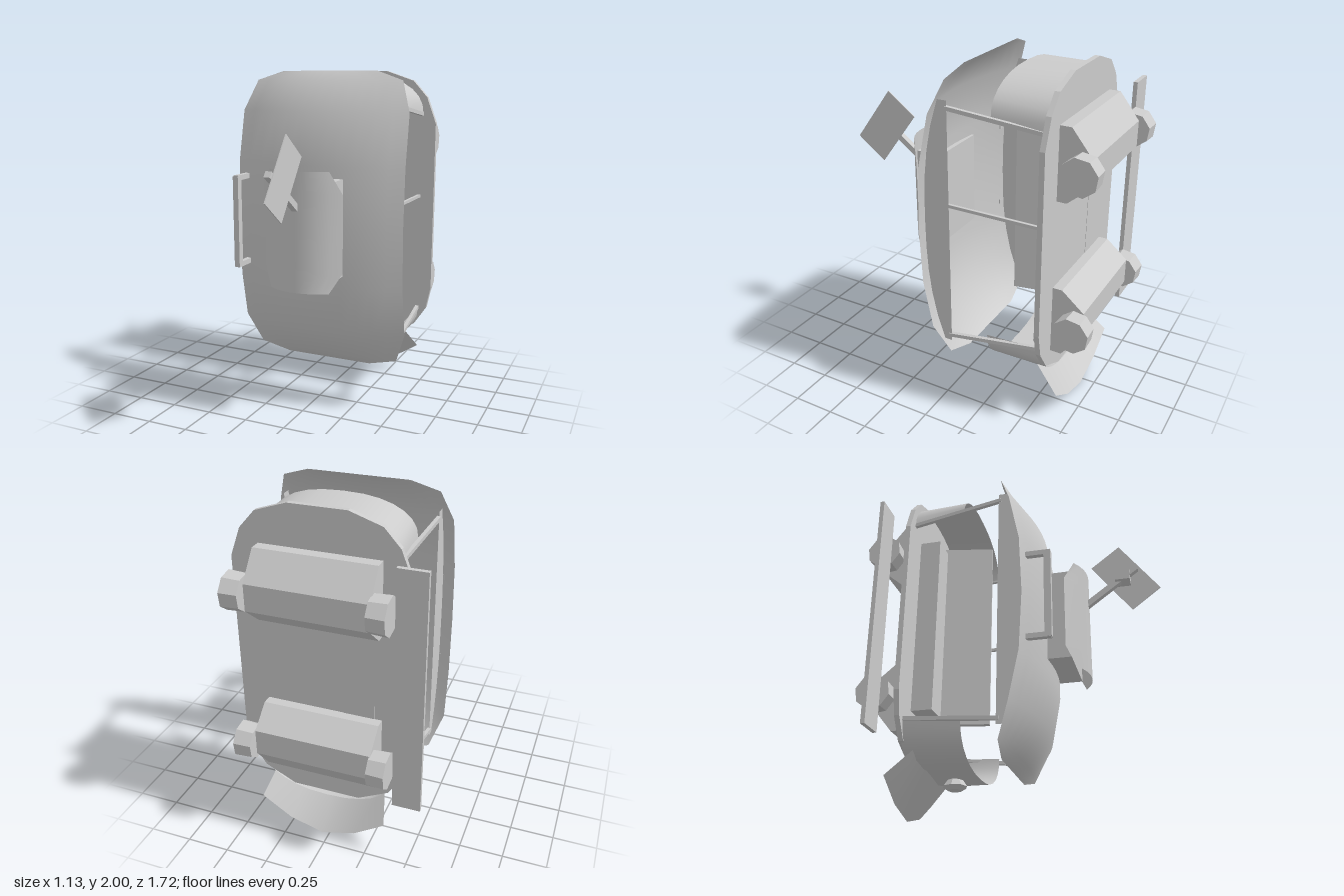
import * as THREE from 'three';

const CX = 0.04; // centre line of the body
const CY = 1.125; // middle of its length
const mat = new THREE.MeshStandardMaterial({ color: 0xcccccc, side: THREE.DoubleSide });
const flat = new THREE.MeshStandardMaterial({ color: 0xcccccc, side: THREE.DoubleSide, flatShading: true });

// depth of the roof's side edge, t = -1..1 along its length
const rimZ = (t) => 0.12 - 0.17 * Math.abs(t) ** 2.6;

export function createModel() {
  const root = new THREE.Group();
  const add = (name, geo, m = mat) => {
    const mesh = new THREE.Mesh(geo, m);
    mesh.name = name;
    root.add(mesh);
    return mesh;
  };
  // box given by its limits
  const box = (name, x0, x1, y0, y1, z0, z1) => {
    const b = add(name, new THREE.BoxGeometry(x1 - x0, y1 - y0, z1 - z0));
    b.position.set((x0 + x1) / 2, (y0 + y1) / 2, (z0 + z1) / 2);
  };
  // square bar between two points
  const bar = (name, a, b, w) => {
    const p = new THREE.Vector3(...a), q = new THREE.Vector3(...b);
    const m = add(name, new THREE.BoxGeometry(w, w, p.distanceTo(q)));
    m.position.copy(p).add(q).multiplyScalar(0.5);
    m.lookAt(q);
  };
  // surface from cross-sections: rows of points f(row, u), u in 0..1
  const sheet = (name, rows, cols, f) => {
    const pos = [], idx = [];
    for (let j = 0; j < rows; j++) for (let i = 0; i <= cols; i++) pos.push(...f(j, i / cols));
    for (let j = 0; j < rows - 1; j++) for (let i = 0; i < cols; i++) {
      const a = j * (cols + 1) + i, c = a + cols + 1;
      idx.push(a, a + 1, c + 1, a, c + 1, c);
    }
    const g = new THREE.BufferGeometry();
    g.setAttribute('position', new THREE.Float32BufferAttribute(pos, 3));
    g.setIndex(idx);
    g.computeVertexNormals();
    add(name, g);
  };

  // crowned roof shell with rounded corners
  const roof = [[-1, 0.27], [-0.94, 0.45], [-0.72, 0.522], [-0.4, 0.522], [0, 0.522],
    [0.4, 0.522], [0.74, 0.518], [0.94, 0.455], [1, 0.295]];
  sheet('roof', roof.length, 12, (j, u) => {
    const [t, w] = roof[j], s = u * 2 - 1;
    const crown = 0.21 - 0.26 * Math.abs(t) ** 5;
    return [CX + s * w, CY + t * 0.875, crown - (crown - rimZ(t)) * s * s];
  });
  // side rails following the underside of the roof
  for (const s of [-1, 1]) {
    sheet('roofSideRail', 2, 10, (j, u) => {
      const y = 0.385 + 1.455 * u;
      return [CX + s * 0.455, y, j ? rimZ((y - CY) / 0.875) : -0.035];
    });
  }

  // raised unit on the roof with a curved, corner-cut cover
  box('roofUnit', -0.15, 0.23, 0.85, 1.41, 0.18, 0.335);
  const cover = [[0.79, 0.18], [0.9, 0.24], [1.34, 0.24], [1.47, 0.18]];
  sheet('roofUnitCover', cover.length, 8, (j, u) => {
    const [y, w] = cover[j], x = (u * 2 - 1) * w;
    return [CX + x, y, 0.42 - 0.11 * (Math.abs(x) / 0.24) ** 2.2];
  });

  // arm, bracket and tilted panel
  bar('panelArm', [CX, 1.26, 0.4], [CX, 1.49, 0.72], 0.036);
  box('panelBracket', -0.005, 0.095, 1.4, 1.47, 0.59, 0.68);
  const panel = add('tiltedPanel', new THREE.BoxGeometry(0.006, 0.4, 0.22));
  panel.position.set(0.092, 1.46, 0.648);
  panel.rotation.x = -0.64;

  // handrail on the right of the roof
  box('roofHandrail', -0.432, -0.398, 0.86, 1.4, 0.235, 0.275);
  for (const y of [0.87, 1.39]) bar('handrailBracket', [-0.415, y, 0.13], [-0.415, y, 0.27], 0.03);

  // floor plate with rounded ends
  const half = [[0.2, 0.27], [0.38, 0.36], [0.46, 0.48], [0.49, 0.62], [0.49, 1.68], [0.43, 1.84], [0.34, 1.94], [0.16, 2.0]];
  const outline = [...half, ...half.slice().reverse().map(([x, y]) => [-x, y])];
  const floorShape = new THREE.Shape(outline.map(([x, y]) => new THREE.Vector2(CX + x, y)));
  const floor = add('floor', new THREE.ExtrudeGeometry(floorShape, { depth: 0.03, bevelEnabled: false }));
  floor.position.z = -0.605;

  // bowed end walls: side height at the open edge and at the floor, height at the middle
  const endWall = (name, sideY, midY, edge) => sheet(name, 2, 14, (j, u) => {
    const c = Math.cos(Math.PI * u);
    const x = CX + 0.41 * Math.sign(c) * Math.abs(c) ** 0.85;
    return [x, sideY[j] + (midY - sideY[j]) * Math.sin(Math.PI * u) ** 0.9, j ? -0.59 : edge];
  });
  endWall('upperEndWall', [1.77, 1.73], 1.975, -0.265);
  endWall('lowerEndWall', [0.465, 0.485], 0.225, -0.245);

  // posts between floor and roof
  for (const s of [-1, 1]) {
    const top = CX + s * 0.45, foot = CX + s * 0.4;
    bar('upperPost', [foot, 1.735, -0.59], [top, 1.8, -0.02], 0.022);
    bar('lowerPost', [foot, 0.48, -0.59], [top, 0.42, -0.02], 0.022);
  }
  bar('middlePost', [0.435, 1.22, -0.59], [0.44, 1.225, 0.05], 0.018);

  // lengthwise bench with leaning back
  box('benchSeat', -0.26, -0.075, 0.56, 1.67, -0.607, -0.45);
  const back = add('benchBack', new THREE.BoxGeometry(0.035, 1.18, 0.41));
  back.position.set(-0.075, 1.11, -0.375);
  back.rotation.y = 0.2;

  // axle housings with wheels
  for (const [y, s] of [[1.56, 1], [0.645, -1]]) {
    // profile: offset along the length, depth below the floor
    const prof = [[0.21, 0.6], [0.21, 0.67], [0.06, 0.79], [-0.09, 0.79], [-0.2, 0.66], [-0.2, 0.6]];
    const shape = new THREE.Shape(prof.map(([v, d]) => new THREE.Vector2(d, y + s * v)));
    const g = new THREE.ExtrudeGeometry(shape, { depth: 0.67, bevelEnabled: false });
    add('axleHousing', g.rotateY(Math.PI / 2).translate(-0.3, 0, 0), flat);
    for (const side of [-1, 1]) {
      const w = new THREE.CylinderGeometry(0.105, 0.1, 0.1, 8);
      const wheel = add('wheel', w.rotateZ(-side * Math.PI / 2), flat);
      wheel.position.set(CX + side * 0.385, y, -0.758);
      wheel.rotation.x = 0.25;
    }
  }

  // running board on the right
  box('runningBoard', -0.565, -0.405, 0.395, 1.8, -0.73, -0.705);

  // curved deflector at the lower end: x, y, z of the upper edge, then drop
  const lip = [[0, 0.205, -0.497, 0.2], [0.2, 0.245, -0.505, 0.185], [0.38, 0.33, -0.52, 0.155]];
  sheet('deflector', 2, 4, (j, u) => {
    const i = Math.round(u * 4) - 2;
    const [x, y, z, drop] = lip[Math.abs(i)];
    return [CX + Math.sign(i) * x * (j ? 1 : 0.88), y - j * drop, j ? -0.675 : z];
  });

  // lamp on the lower end wall
  const lamp = add('lamp', new THREE.LatheGeometry(
    [[0, 0.16], [0.04, 0.168], [0.072, 0.19], [0.042, 0.235], [0, 0.235]].map((p) => new THREE.Vector2(...p)), 8), flat);
  lamp.position.set(CX, 0, -0.395);

  return root;
}
